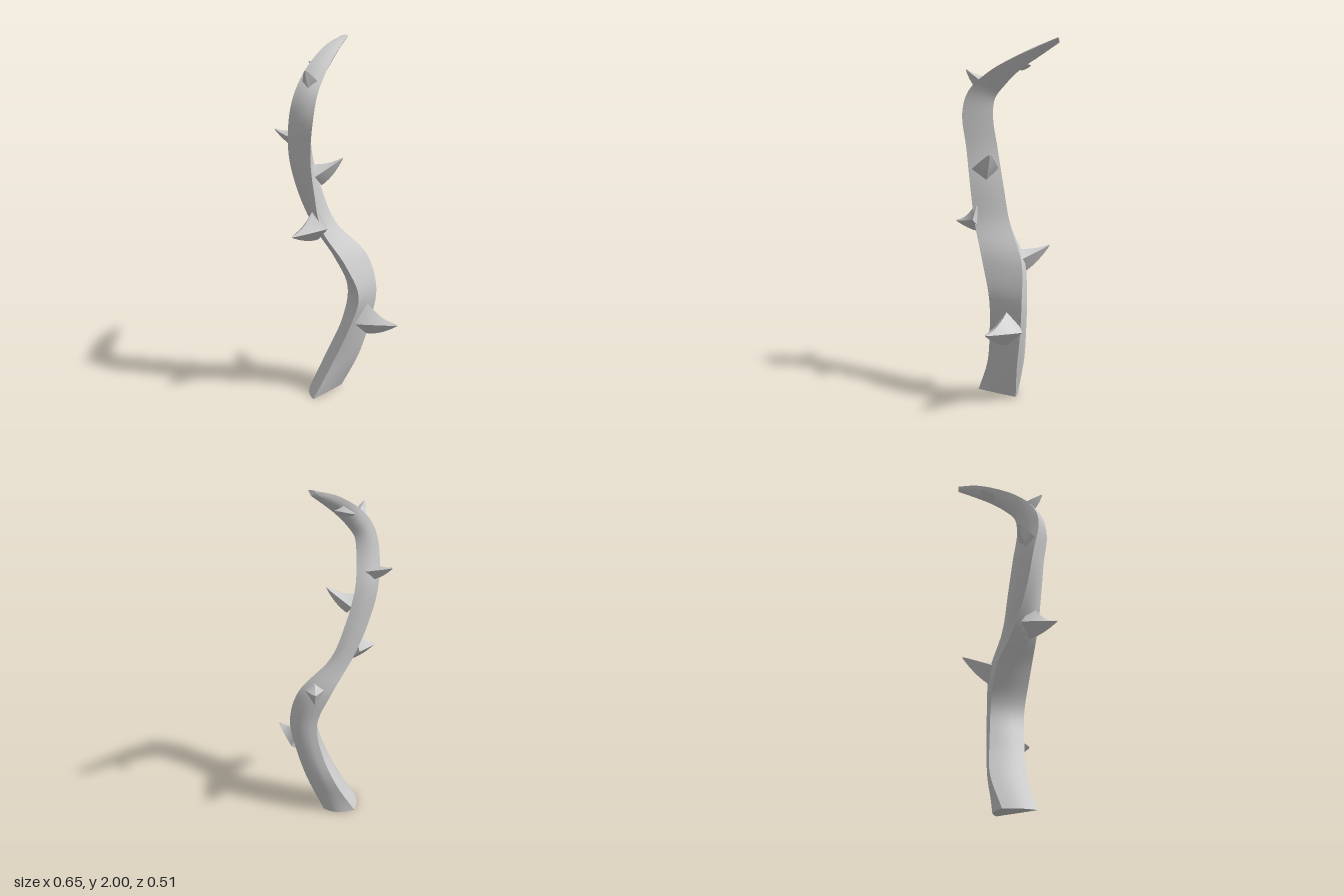
import * as THREE from 'three';
import { toCreasedNormals } from 'three/addons/utils/BufferGeometryUtils.js';

const V = (x, y, z) => new THREE.Vector3(x, y, z);

// Skin a list of rings (counter-clockwise seen from the far end) and cap both ends
function loft(rings, crease) {
  const n = rings[0].length, last = rings.length - 1;
  const points = rings.flat(), index = [];
  for (let i = 0; i < last; i++) {
    for (let j = 0; j < n; j++) {
      const k = (j + 1) % n, a = i * n, b = a + n;
      index.push(a + j, a + k, b + k, a + j, b + k, b + j);
    }
  }
  for (const [r, flip] of [[0, true], [last, false]]) {
    const c = points.length, o = r * n;
    points.push(rings[r].reduce((s, p) => s.add(p), V(0, 0, 0)).divideScalar(n));
    for (let j = 0; j < n; j++) {
      const k = (j + 1) % n;
      index.push(c, o + (flip ? k : j), o + (flip ? j : k));
    }
  }
  const g = new THREE.BufferGeometry().setFromPoints(points);
  g.setIndex(index);
  return toCreasedNormals(g, crease);
}

// The three long edges of the stem: outer, back and front
const rail = (pts) => new THREE.CatmullRomCurve3(pts.map((p) => V(...p)));
const outer = rail([
  [0.04, 0, -0.02], [0.137, 0.2, 0], [0.2, 0.4, 0], [0.235, 0.6, 0], [0.18, 0.8, -0.015],
  [0, 1, 0.005], [-0.08, 1.2, 0.02], [-0.13, 1.4, 0.04], [-0.135, 1.58, 0.065],
  [-0.125, 1.68, 0.055], [-0.09, 1.75, 0.01], [-0.035, 1.83, -0.06], [0.02, 1.905, -0.16], [0.08, 1.975, -0.252]]);
const back = rail([
  [-0.145, 0, -0.025], [-0.04, 0.2, -0.068], [0.045, 0.4, -0.055], [0.075, 0.6, -0.045], [-0.01, 0.8, -0.03],
  [-0.13, 1, 0.05], [-0.212, 1.2, 0.1], [-0.258, 1.4, 0.13], [-0.255, 1.6, 0.165],
  [-0.225, 1.72, 0.135], [-0.17, 1.82, 0.05], [-0.1, 1.9, -0.06], [-0.025, 1.96, -0.16], [0.06, 2, -0.255]]);
const front = rail([
  [-0.14, 0, 0.155], [-0.03, 0.2, 0.127], [0.06, 0.4, 0.135], [0.115, 0.6, 0.15], [0.035, 0.8, 0.17],
  [-0.09, 1, 0.185], [-0.13, 1.2, 0.2], [-0.15, 1.4, 0.215], [-0.135, 1.6, 0.24],
  [-0.11, 1.72, 0.21], [-0.06, 1.82, 0.11], [-0.01, 1.89, -0.005], [0.045, 1.95, -0.13], [0.095, 2, -0.238]]);

// Stem: rounded triangular section swept along the three edges
function stemGeometry() {
  const rings = [], steps = 78, perSide = 5;
  for (let i = 0; i <= steps; i++) {
    const corners = [outer, back, front].map((c) => c.getPoint(i / steps));
    const centre = V(0, 0, 0);
    corners.forEach((p) => centre.addScaledVector(p, 1 / 3));
    const ring = [];
    [0.5, 0.25, 0.04].forEach((bulge, s) => {
      const p = corners[s], q = corners[(s + 1) % 3];
      const out = p.clone().lerp(q, 0.5).sub(centre);
      for (let k = 0; k < perSide; k++) {
        const t = k / perSide;
        ring.push(p.clone().lerp(q, t).addScaledVector(out, bulge * Math.sin(Math.PI * t)));
      }
    });
    rings.push(ring);
  }
  return loft(rings, 0.6);
}

// Thorn: four-ridged horn, hollow on top and full underneath
function thornGeometry(root, tip, width, top, bottom) {
  const a = V(...root), b = V(...tip), d = b.clone().sub(a).normalize();
  const side = V(0, 1, 0).cross(d).normalize();
  const up = d.clone().cross(side);
  const rings = [];
  for (let i = 0; i <= 10; i++) {
    const t = i / 10, c = a.clone().lerp(b, t);
    const w = width * (1 - t) ** 0.85 + 0.004;
    const h = top * (1 - t) ** 2 + 0.004;
    const l = bottom * (1 - t ** 1.7) + 0.004;
    rings.push([
      c.clone().addScaledVector(side, w), c.clone().addScaledVector(up, h),
      c.clone().addScaledVector(side, -w), c.clone().addScaledVector(up, -l)]);
  }
  return loft(rings, 0.6);
}

// root, tip, half width, height above and below the root
const thorns = [
  [[0.165, 0.43, 0.055], [0.32, 0.455, 0.218], 0.085, 0.13, 0.075],
  [[0.09, 0.81, 0], [0.073, 0.875, -0.205], 0.06, 0.06, 0.09],
  [[-0.11, 1.01, 0.14], [-0.25, 0.985, 0.255], 0.075, 0.12, 0.07],
  [[-0.12, 1.29, 0.115], [0.027, 1.375, 0.123], 0.072, 0.06, 0.065],
  [[-0.2, 1.485, 0.12], [-0.325, 1.522, 0.032], 0.055, 0.05, 0.055],
  [[-0.135, 1.765, 0.115], [-0.172, 1.838, 0.208], 0.045, 0.035, 0.05],
  [[-0.05, 1.865, -0.07], [-0.13, 1.862, -0.15], 0.035, 0.035, 0.03]];

export function createModel() {
  const group = new THREE.Group();
  group.name = 'thornyVine';
  const material = new THREE.MeshStandardMaterial({ color: 0xcccccc });
  const add = (name, geometry) => {
    const mesh = new THREE.Mesh(geometry, material);
    mesh.name = name;
    group.add(mesh);
  };
  add('stem', stemGeometry());
  thorns.forEach((t, i) => add('thorn' + (i + 1), thornGeometry(...t)));
  return group;
}
